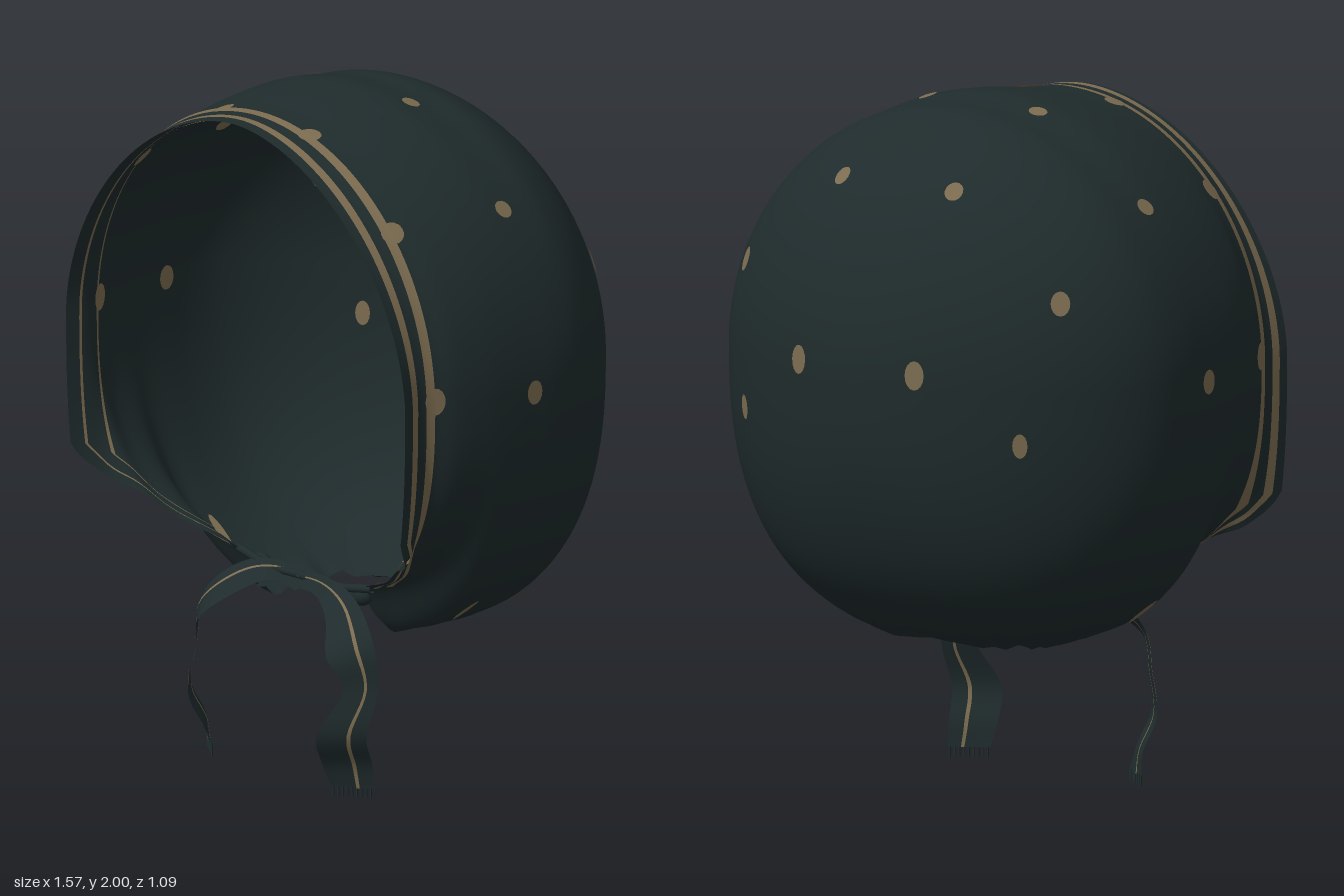
import * as THREE from 'three';

const V = (x, y, z) => new THREE.Vector3(x, y, z);
const RAD = Math.PI / 180;
const MID = 1.25; // height of the widest part

// Cross-section rows from the back pole to the front rim: z, half width, top, bottom, edge angle
const rows = [];
for (let deg = 90; deg >= 10; deg -= 10) {
  const c = Math.max(Math.cos(deg * RAD), 1e-4);
  rows.push([-0.55 * Math.sin(deg * RAD), 0.78 * c ** 1.12, MID + 0.74 * c ** 1.1,
    MID - 0.83 * c ** 0.87, deg > 15 ? 180 : 166]);
}
rows.push(
  [0, 0.78, 1.985, 0.42, 166],
  [0.1, 0.777, 2, 0.42, 166],
  [0.19, 0.772, 1.995, 0.435, 166],
  [0.27, 0.763, 1.985, 0.57, 166],
  [0.36, 0.742, 1.97, 0.585, 149],
  [0.42, 0.71, 1.965, 0.55, 133],
  [0.47, 0.7, 1.96, 0.357, 117],
  [0.54, 0.715, 1.96, 0.11, 105],
);
const outline = new THREE.CatmullRomCurve3(rows.map(r => V(r[0], r[1], r[2])), false, 'catmullrom');
const lower = new THREE.CatmullRomCurve3(rows.map(r => V(r[3], r[4] * RAD, 0)), false, 'catmullrom');

const edgeAngle = t => Math.min(lower.getPoint(t).y, Math.PI);

// Point on the cloth: t runs back to front, a is the angle away from the crown
function cloth(t, a) {
  const o = outline.getPoint(t), bottom = lower.getPoint(t).x;
  const s = Math.sin(a), c = Math.cos(a);
  // fuller below, slightly pinched towards the front rim above
  const p = c < 0 ? 0.8 : 1 + 0.1 * THREE.MathUtils.smoothstep(o.x, 0.42, 0.54);
  const x = Math.sign(s) * o.y * Math.abs(s) ** p;
  let y = MID + (c < 0 ? bottom - MID : o.z - MID) * Math.abs(c) ** p;
  // gathers around the neck
  if (y < 0.85) {
    const w = Math.max(0, 1 - Math.hypot(x, o.x - 0.03) / 0.5) ** 2;
    y += 0.035 * w * Math.sin(24 * Math.atan2(o.x - 0.03, Math.abs(x)));
  }
  return V(x, y, o.x);
}

function clothNormal(t, a) {
  const e = 0.004, t0 = Math.min(t, 1 - e);
  const n = cloth(t0, a + e).sub(cloth(t0, a - e)).cross(cloth(t0 + e, a).sub(cloth(t0 - e, a))).normalize();
  return n.dot(cloth(t, a).sub(V(0, MID, 0))) < 0 ? n.negate() : n;
}

function rowAtZ(z) {
  let lo = 0, hi = 1;
  for (let i = 0; i < 30; i++) {
    const m = (lo + hi) / 2;
    if (outline.getPoint(m).x < z) lo = m; else hi = m;
  }
  return (lo + hi) / 2;
}

// Surface through a grid of points
function sheet(grid) {
  const n = grid[0].length, index = [];
  for (let i = 0; i < grid.length - 1; i++) {
    for (let j = 0; j < n - 1; j++) {
      const a = i * n + j, b = a + 1, c = a + n, d = c + 1;
      index.push(a, c, b, b, c, d);
    }
  }
  const g = new THREE.BufferGeometry().setFromPoints(grid.flat());
  g.setIndex(index);
  g.computeVertexNormals();
  return g;
}

export function createModel() {
  const group = new THREE.Group();
  const dark = new THREE.MeshStandardMaterial({ color: 0x1f2b2c, side: THREE.DoubleSide });
  dark.name = 'dark cloth';
  const gold = new THREE.MeshStandardMaterial({ color: 0x7c6c50, side: THREE.DoubleSide });
  gold.name = 'tan print';
  const add = (geometry, material, name) => {
    const m = new THREE.Mesh(geometry, material);
    m.name = name;
    group.add(m);
    return m;
  };

  // Bonnet shell, open at the face and neck
  const grid = [];
  for (let i = 0; i <= 80; i++) {
    const t = i / 80, A = edgeAngle(t), row = [];
    for (let j = 0; j <= 112; j++) row.push(cloth(t, A * (j / 56 - 1)));
    grid.push(row);
  }
  const shell = add(sheet(grid), dark, 'bonnetShell');
  shell.updateMatrixWorld();

  // Printed border stripes following the rim, fainter on the inside of the cloth
  function stripeEdge(s, z0, off) {
    const side = Math.sign(s) || 1, k = Math.abs(s);
    if (k < 0.7) {
      const t = rowAtZ(z0);
      return [t, side * (k / 0.7) * (edgeAngle(t) - off)];
    }
    const t = rowAtZ(THREE.MathUtils.lerp(z0, 0.28, (k - 0.7) / 0.3));
    return [t, side * (edgeAngle(t) - off)];
  }
  const stripes = [
    [0.484, 0.51, 0.08, 0.045, 0.006], [0.422, 0.449, 0.17, 0.125, 0.006],
    [0.494, 0.502, 0.065, 0.055, -0.006], [0.432, 0.44, 0.15, 0.14, -0.006],
  ];
  for (const [z1, z2, o1, o2, lift] of stripes) {
    const band = [];
    for (let i = 0; i <= 160; i++) {
      band.push([[z1, o1], [z2, o2]].map(([z, o]) => {
        const [t, a] = stripeEdge(i / 80 - 1, z, o);
        return cloth(t, a).addScaledVector(clothNormal(t, a), lift);
      }));
    }
    add(sheet(band), gold, 'borderStripe');
  }

  // Printed dots, mirrored, on both faces of the cloth: x, y, z, width, height
  const dots = [
    [0.2, 1.29, -0.5, 0.03, 0.042], [0.2, 1.79, -0.33, 0.028, 0.03], [0.57, 1.51, -0.31, 0.028, 0.036],
    [0.48, 1.11, -0.39, 0.022, 0.036], [0.2, 1.97, 0.05, 0.027, 0.027], [0.59, 1.74, 0.05, 0.028, 0.028],
    [0.77, 1.25, 0.1, 0.027, 0.036], [0.18, 1.94, 0.42, 0.034, 0.03], [0.53, 1.73, 0.42, 0.034, 0.034],
    [0.69, 1.27, 0.42, 0.03, 0.04], [0.52, 0.55, 0.13, 0.014, 0.065],
  ];
  const ray = new THREE.Raycaster();
  const disc = new THREE.CircleGeometry(1, 16);
  for (const [x, y, z, w, h] of dots) {
    for (const side of [1, -1]) {
      const origin = V(0, MID, z > 0.3 ? z : 0);
      ray.set(origin, V(side * x, y, z).sub(origin).normalize());
      const hit = ray.intersectObject(shell)[0];
      if (!hit) continue;
      const n = hit.face.normal.clone();
      if (n.dot(ray.ray.direction) < 0) n.negate();
      for (const f of [1, -1]) {
        const m = add(disc, gold, 'printedDot');
        m.scale.set(w, h, 1);
        m.position.copy(hit.point).addScaledVector(n, f * 0.005);
        m.lookAt(m.position.clone().addScaledVector(n, f));
      }
    }
  }

  // Ribbon ties crossing under the chin: centre points and half-width vectors
  const path = [
    [-0.2, 0.52, 0.25], [-0.06, 0.555, 0.28], [0.1, 0.57, 0.3], [0.22, 0.53, 0.33], [0.32, 0.44, 0.385],
    [0.355, 0.33, 0.375], [0.33, 0.2, 0.425], [0.31, 0.1, 0.385], [0.31, 0.03, 0.365],
  ];
  const half = [
    [0.01, 0.03, -0.01], [0, 0.025, -0.012], [0.01, 0.025, -0.015], [0.03, 0.03, -0.03], [0.045, 0.02, -0.05],
    [0.035, 0, -0.035], [0.05, 0, -0.05], [0.05, 0, -0.05], [0.05, 0, -0.035],
  ];
  for (const side of [1, -1]) {
    const flip = p => V(side * p[0], p[1], p[2] + side * 0.008);
    const centre = new THREE.CatmullRomCurve3(path.map(flip), false, 'catmullrom');
    const width = new THREE.CatmullRomCurve3(half.map(p => V(side * p[0], p[1], p[2])), false, 'catmullrom');
    const strip = (from, to, lift) => {
      const g = [];
      for (let i = 0; i <= 48; i++) {
        const t = i / 48, c = centre.getPoint(t), w = width.getPoint(t);
        const n = centre.getTangent(t).cross(w).normalize().multiplyScalar(lift);
        g.push([from, to].map(k => c.clone().addScaledVector(w, k).add(n)));
      }
      return sheet(g);
    };
    add(strip(-1, 1, 0), dark, 'ribbonTie');
    for (const lift of [0.004, -0.004]) add(strip(0.2, 0.36, lift), gold, 'ribbonStripe');

    // Frayed ribbon end
    for (let i = 0; i < 9; i++) {
      const k = i / 4.5 - 0.9;
      const thread = add(new THREE.BoxGeometry(0.004, 0.03, 0.004), dark, 'fringeThread');
      thread.position.copy(centre.getPoint(1)).addScaledVector(width.getPoint(1), k);
      thread.position.y = 0.016 + 0.002 * (i % 2);
    }

    // Gathered knot at the neck corner, joined to the rim
    const knot = add(new THREE.SphereGeometry(0.035, 14, 10), dark, 'neckKnot');
    knot.scale.set(1.2, 0.9, 0.8);
    knot.position.set(side * 0.21, 0.555, 0.25);
    const cord = new THREE.CatmullRomCurve3([
      V(side * 0.28, 0.59, 0.27), V(side * 0.14, 0.57, 0.28), V(0, 0.575, 0.29)]);
    add(new THREE.TubeGeometry(cord, 12, 0.012, 8), dark, 'chinCord');
  }
  return group;
}
